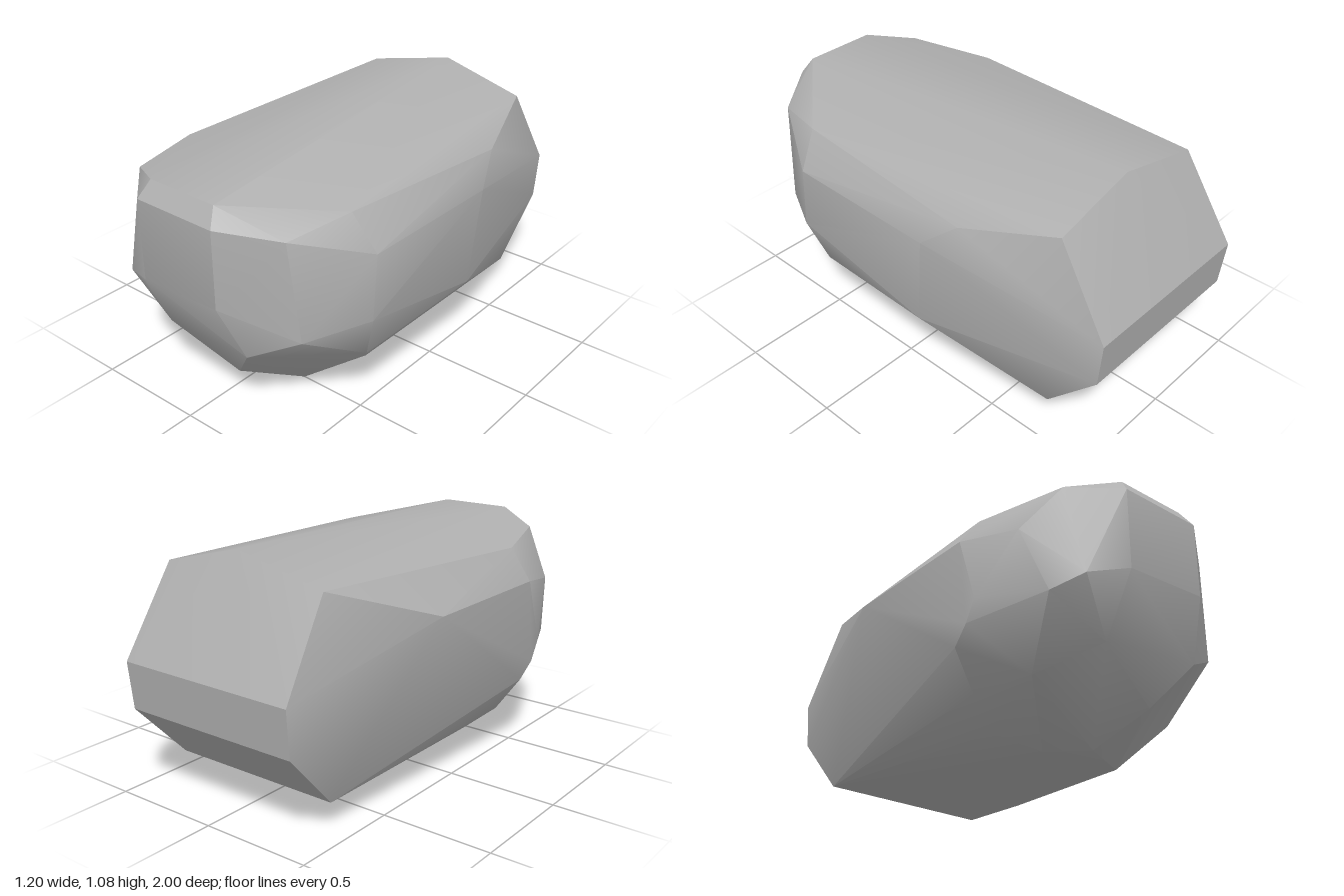
import * as THREE from 'three';
import { toCreasedNormals } from 'three/addons/utils/BufferGeometryUtils.js';
import { ConvexGeometry } from 'three/addons/geometries/ConvexGeometry.js';

const v = (x, y, z) => new THREE.Vector3(x, y, z);
// the same corner on both sides
const pair = (x, y, z) => [v(x, y, z), v(-x, y, z)];

export function createModel() {
  const group = new THREE.Group();
  group.name = 'facetedStone';
  const stone = new THREE.MeshStandardMaterial({ color: 0xb0b0b0 });
  stone.name = 'stone grey';

  // chiselled back end and the ridge of the top
  const back = [
    v(0.02, 1.08, -0.76), ...pair(0.41, 0.98, -0.76),
    ...pair(0.43, 0.6, -1), ...pair(0.425, 0.39, -0.98), ...pair(0.41, 0.12, -0.73),
  ];
  // blunt front end
  const front = [
    ...pair(0.17, 1.015, 0.95), ...pair(0.2, 0.94, 1),
    v(0.2, 0.6, 1), v(-0.2, 0.58, 1), v(0.42, 0.9, 0.84), v(-0.38, 0.96, 0.83),
    v(-0.37, 0.53, 0.93), v(0.46, 0.46, 0.81), v(0.25, 0.35, 0.9),
    v(-0.47, 0.46, 0.83), v(-0.22, 0.31, 0.87), v(0.09, 0.15, 0.79),
  ];
  // left flank
  const left = [
    v(0.54, 0.89, -0.35), v(0.5, 0.94, 0.56), v(0.6, 0.77, -0.2), v(0.6, 0.78, 0.53),
    v(0.6, 0.49, 0.55), v(0.58, 0.33, -0.15), v(0.53, 0.28, 0.5), v(0.4, 0.12, 0.34),
  ];
  // right flank
  const right = [
    v(-0.5, 0.94, 0.45), v(-0.6, 0.8, -0.25), v(-0.6, 0.8, 0.45), v(-0.6, 0.5, 0.55),
    v(-0.6, 0.41, 0.5), v(-0.59, 0.34, 0.42), v(-0.48, 0.18, 0.4), v(-0.53, 0.75, 0.73),
    v(-0.4, 0.2, 0.65), v(-0.35, 0.07, 0.35),
  ];
  // underside
  const base = [
    v(0.2, 0.005, -0.13), v(0.19, 0, 0.5), v(-0.02, 0.01, 0.58), v(-0.02, 0, 0),
    v(-0.17, 0.005, 0.45), v(-0.12, 0.005, 0.05),
  ];

  const hull = new ConvexGeometry([...back, ...front, ...left, ...right, ...base]);
  const body = new THREE.Mesh(toCreasedNormals(hull, 0.52), stone);
  body.name = 'stoneBody';
  group.add(body);
  return group;
}
